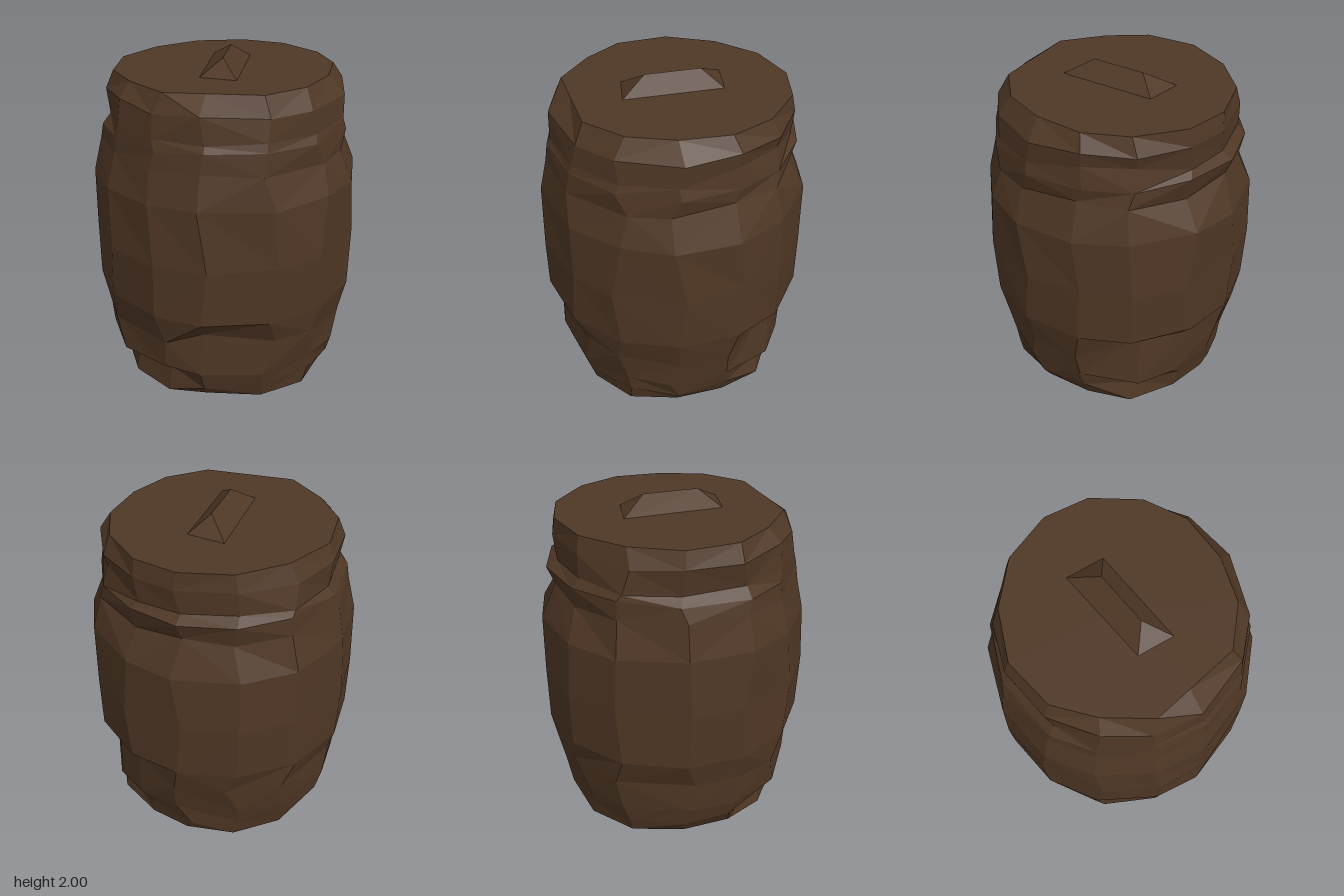
import * as THREE from 'three';

const SEG = 14;

// small seeded generator, returns -1..1
function makeRandom(seed) {
  let s = seed;
  return () => {
    s = (s * 16807) % 2147483647;
    return (s / 2147483647) * 2 - 1;
  };
}

// outlines of the flat ends as [x, z], running from the front towards +x
const TOP = [[-0.31, 0.6], [0.37, 0.57], [0.6, 0.25], [0.64, -0.3], [0.33, -0.62], [0, -0.7],
  [-0.35, -0.6], [-0.62, -0.29], [-0.7, 0.04], [-0.6, 0.27]];
const BOTTOM = [[-0.33, 0.61], [0.26, 0.62], [0.56, 0.4], [0.66, 0], [0.56, -0.42], [0.16, -0.67],
  [-0.25, -0.64], [-0.58, -0.38], [-0.65, 0.02], [-0.58, 0.35]];

// distance from the axis to an end outline in direction a
function outlineRadius(poly, a) {
  const dx = Math.sin(a), dz = Math.cos(a);
  let best = Infinity;
  poly.forEach(([x1, z1], i) => {
    const [x2, z2] = poly[(i + 1) % poly.length];
    const nx = z1 - z2, nz = x2 - x1;
    const d = (nx * x1 + nz * z1) / (nx * dx + nz * dz);
    if (d > 0) best = Math.min(best, d);
  });
  return best;
}

// body rings: height, radius, jitter
const RINGS = [[0.01, 0, 0], [0.1, 0.695, 0.7], [0.22, 0.725, 0.8], [0.43, 0.755, 1], [0.6, 0.8, 0.2],
  [0.95, 0.81, 0.7], [1.3, 0.8, 0.4], [1.5, 0.75, 0.8], [1.61, 0.74, 0.5], [1.67, 0.725, 0.5],
  [1.81, 0.71, 0.6], [1.91, 0, 0]];

// chips and gashes: ring, segment, radius change, height change
const CHIPS = [
  [1, 12, -0.06, 0.08], [1, 13, -0.05, 0.08], [2, 12, 0.02, 0.01], [2, 13, 0.01, -0.01],
  [3, 11, 0, 0], [3, 12, 0.01, -0.03], [3, 0, -0.03, 0.08], [3, 1, -0.02, -0.02],
  [1, 5, -0.03, 0.04], [2, 5, 0.01, -0.03], [1, 6, -0.02, 0.04],
  [3, 5, -0.03, 0.12], [3, 6, -0.03, 0.12],
  [7, 6, -0.04, 0], [7, 7, -0.04, 0.01], [7, 8, -0.03, 0], [8, 7, 0.015, 0], [8, 8, 0.01, 0],
  [9, 6, -0.03, 0], [9, 7, -0.03, 0], [9, 8, -0.02, 0], [9, 10, -0.03, 0], [9, 11, -0.03, 0],
  [7, 3, -0.03, 0], [7, 4, -0.04, 0], [8, 4, -0.01, 0],
  [10, 4, 0.01, 0.02], [10, 5, 0.01, 0], [9, 4, -0.02, 0.08], [9, 5, -0.03, 0.06],
];

function bodyGeometry() {
  const rand = makeRandom(4711);
  const pts = [], index = [];
  const twist = Array.from({ length: SEG }, () => rand() * 0.05);
  RINGS.forEach(([y, r, jit], i) => {
    const end = i === 0 ? BOTTOM : i === RINGS.length - 1 ? TOP : null;
    for (let j = 0; j < SEG; j++) {
      const a = (j / SEG) * Math.PI * 2 + twist[j] + rand() * 0.09 * jit;
      let rad = end ? outlineRadius(end, a) : r + rand() * 0.012 * jit;
      let h = y + rand() * 0.03 * jit;
      for (const [ci, cj, dr, dy] of CHIPS) if (ci === i && cj === j) { rad += dr; h += dy; }
      pts.push(Math.sin(a) * rad, h, Math.cos(a) * rad);
    }
  });
  for (let i = 0; i < RINGS.length - 1; i++) {
    for (let j = 0; j < SEG; j++) {
      const k = (j + 1) % SEG;
      const a = i * SEG + j, b = i * SEG + k, c = b + SEG, d = a + SEG;
      if (rand() > 0) index.push(a, b, c, a, c, d);
      else index.push(a, b, d, b, c, d);
    }
  }
  // flat ends
  const low = pts.length / 3, high = low + 1, last = (RINGS.length - 1) * SEG;
  pts.push(0, 0, 0, 0, 1.91, 0);
  for (let j = 0; j < SEG; j++) {
    const k = (j + 1) % SEG;
    index.push(low, k, j, high, last + j, last + k);
  }
  const g = new THREE.BufferGeometry();
  g.setAttribute('position', new THREE.Float32BufferAttribute(pts, 3));
  g.setIndex(index);
  g.computeVertexNormals();
  return g;
}

// hipped ridge lying along z on the top face
function ridgeGeometry() {
  const g = new THREE.BufferGeometry();
  g.setAttribute('position', new THREE.Float32BufferAttribute([
    -0.12, 1.905, 0.28, 0.11, 1.905, 0.32, 0.12, 1.905, -0.29, -0.12, 1.905, -0.33,
    0.005, 2, 0.16, 0.01, 2, -0.17], 3));
  g.setIndex([0, 1, 4, 1, 2, 5, 1, 5, 4, 2, 3, 5, 3, 0, 4, 3, 4, 5]);
  g.computeVertexNormals();
  return g;
}

export function createModel() {
  const brown = new THREE.MeshStandardMaterial({ color: 0x4f3725, flatShading: true, side: THREE.DoubleSide });
  brown.name = 'darkBrown';
  const group = new THREE.Group();
  group.name = 'roughStump';
  const add = (name, geometry) => {
    const mesh = new THREE.Mesh(geometry, brown);
    mesh.name = name;
    group.add(mesh);
  };
  add('body', bodyGeometry());
  add('topRidge', ridgeGeometry());
  return group;
}
